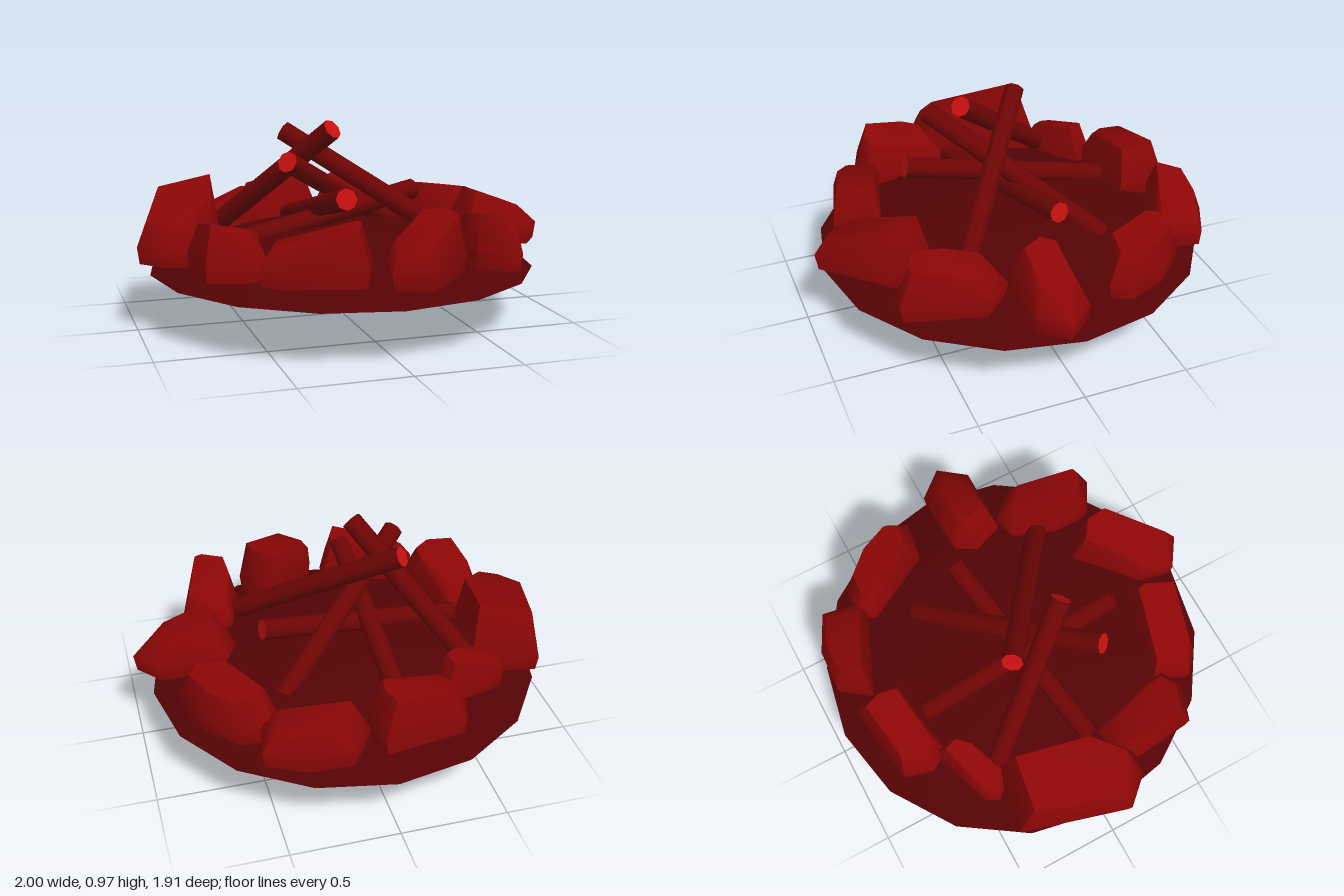
import * as THREE from 'three';
import { ConvexGeometry } from 'three/addons/geometries/ConvexGeometry.js';
import { toCreasedNormals } from 'three/addons/utils/BufferGeometryUtils.js';

const STONE_BASE = 0.33;

export function createModel() {
  const group = new THREE.Group();
  group.name = 'campfire';
  const earthMat = new THREE.MeshStandardMaterial({ color: 0x540305 });
  const stoneMat = new THREE.MeshStandardMaterial({ color: 0x8c0606 });
  const barkMat = new THREE.MeshStandardMaterial({ color: 0x6e0505 });
  const cutMat = new THREE.MeshStandardMaterial({ color: 0xc81010 });

  const add = (name, geometry, material) => {
    const mesh = new THREE.Mesh(geometry, material);
    mesh.name = name;
    group.add(mesh);
    return mesh;
  };

  // Earth base: low rounded mound over a shallow cone
  const profile = [[0, 0], [0.93, 0.25], [0.77, 0.33], [0.57, 0.385], [0.3, 0.43], [0, 0.445]];
  const earth = new THREE.LatheGeometry(profile.map(([r, y]) => new THREE.Vector2(r, y)), 16);
  add('earthBase', toCreasedNormals(earth, 0.6), earthMat).position.z = -0.03;

  // Stone: plan outline as x, z pairs, with a shrunken top plane tilted by slopeX, slopeZ
  const stone = (plan, height, slopeX, slopeZ, topScale = 0.78) => {
    const corners = [];
    for (let i = 0; i < plan.length; i += 2) corners.push(new THREE.Vector2(plan[i], plan[i + 1]));
    const centre = corners
      .reduce((sum, c) => sum.add(c), new THREE.Vector2())
      .divideScalar(corners.length);
    const points = [];
    for (const c of corners) {
      const at = (scale) => c.clone().sub(centre).multiplyScalar(scale);
      const foot = at(0.95), belly = at(1), top = at(topScale);
      points.push(
        new THREE.Vector3(centre.x + foot.x, STONE_BASE, centre.y + foot.y),
        new THREE.Vector3(centre.x + belly.x, 0.41, centre.y + belly.y),
        new THREE.Vector3(centre.x + top.x, height + slopeX * top.x + slopeZ * top.y, centre.y + top.y),
      );
    }
    add('stone', toCreasedNormals(new ConvexGeometry(points), 1), stoneMat);
  };

  // Ring of stones, clockwise from the back
  stone([-0.40, -0.66, -0.36, -0.80, 0.03, -0.86, 0.07, -0.75, 0.05, -0.62, -0.34, -0.57], 0.56, 0.16, -0.05, 0.7);
  stone([0.07, -0.75, 0.17, -0.89, 0.38, -0.88, 0.56, -0.79, 0.53, -0.61, 0.48, -0.58], 0.52, -0.27, 0, 0.7);
  stone([0.43, -0.56, 0.47, -0.64, 0.62, -0.63, 0.76, -0.48, 0.84, -0.29, 0.79, -0.20, 0.61, -0.23], 0.54, -0.1, 0.1, 0.72);
  stone([0.51, 0.05, 0.57, -0.05, 0.89, -0.06, 1.00, 0.07, 0.90, 0.20, 0.57, 0.20], 0.56, -0.37, 0, 0.6);
  stone([0.42, 0.45, 0.49, 0.24, 0.61, 0.21, 0.72, 0.34, 0.62, 0.71, 0.57, 0.72, 0.43, 0.64], 0.55, -0.1, 0.17, 0.72);
  stone([-0.05, 0.86, -0.02, 0.70, 0.24, 0.45, 0.35, 0.53, 0.37, 0.66, 0.09, 0.955], 0.55, 0.28, -0.15);
  stone([-0.57, 0.64, -0.50, 0.48, -0.07, 0.59, -0.06, 0.64, -0.13, 0.81, -0.48, 0.72], 0.54, 0.25, 0);
  stone([-0.80, 0.24, -0.77, 0.13, -0.60, 0.11, -0.50, 0.40, -0.50, 0.53, -0.60, 0.58, -0.77, 0.52], 0.54, -0.2, 0.2, 0.7);
  stone([-1.00, 0.07, -0.85, -0.45, -0.53, -0.40, -0.61, 0.05, -0.77, 0.21, -0.89, 0.19], 0.58, 0.25, -0.15);
  stone([-0.67, -0.45, -0.64, -0.51, -0.33, -0.62, -0.30, -0.53, -0.37, -0.45, -0.58, -0.36], 0.52, 0.35, 0, 0.7);

  // Logs leaning across one another, raised end first, with bright cut ends
  const log = (from, to) => {
    const a = new THREE.Vector3(...from), b = new THREE.Vector3(...to);
    const axis = a.clone().sub(b);
    const geometry = new THREE.CylinderGeometry(0.05, 0.05, axis.length(), 8);
    const mesh = add('log', geometry, [barkMat, cutMat, cutMat]);
    mesh.position.addVectors(a, b).multiplyScalar(0.5);
    mesh.quaternion.setFromUnitVectors(new THREE.Vector3(0, 1, 0), axis.normalize());
  };
  log([-0.12, 0.65, 0.45], [-0.12, 0.40, -0.57]);
  log([0.41, 0.58, -0.12], [-0.60, 0.39, 0.07]);
  log([-0.34, 0.80, 0.26], [0.37, 0.37, -0.37]);
  log([-0.25, 0.89, -0.16], [0.50, 0.38, 0.39]);
  log([-0.10, 0.93, 0.17], [-0.57, 0.36, -0.46]);

  return group;
}
